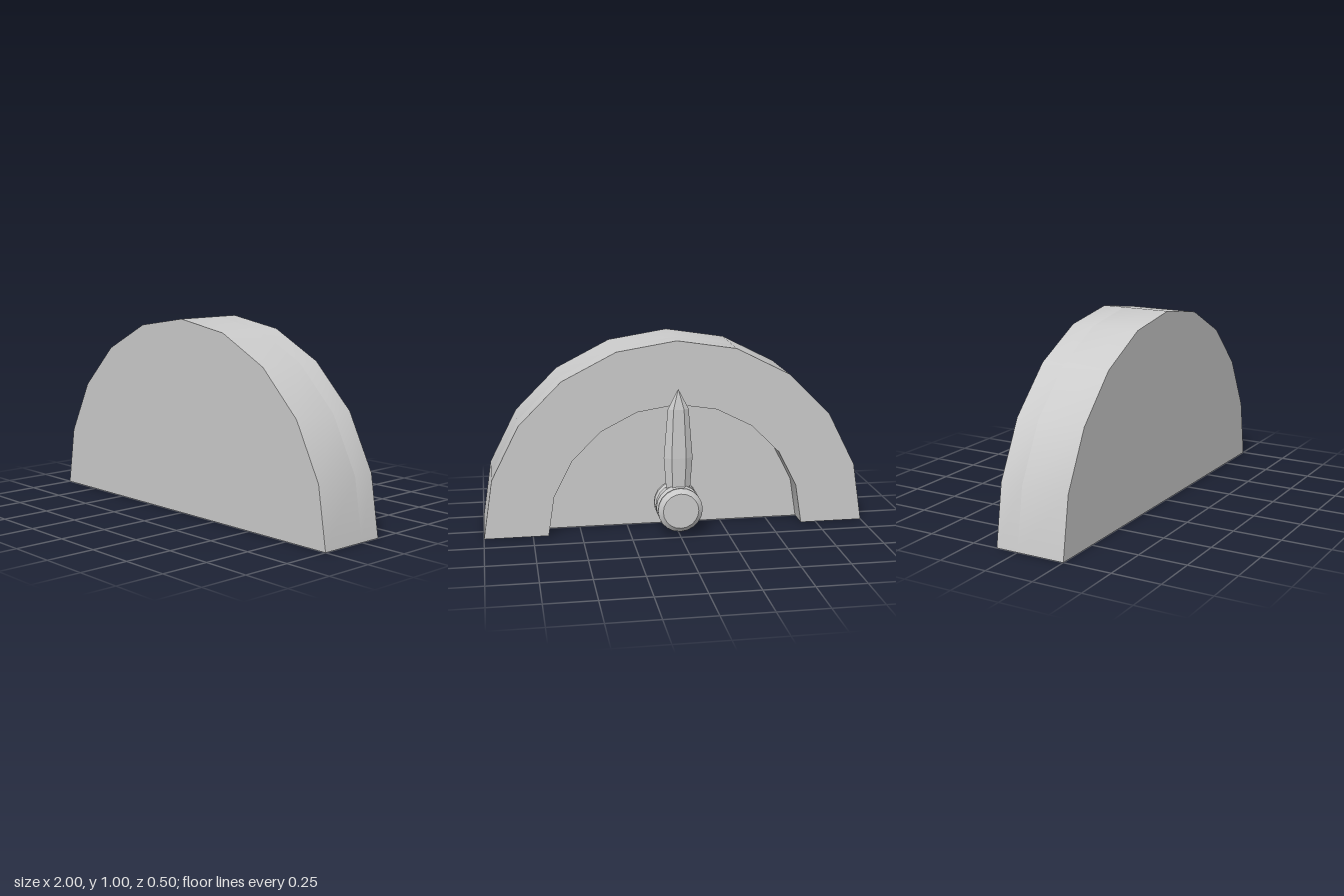
import * as THREE from 'three';
import { toCreasedNormals } from 'three/addons/utils/BufferGeometryUtils.js';

const STEPS = 10;          // straight segments along each half circle
const OUTER = 1, INNER = 0.67;
const FRONT_Z = 0.25, FLOOR_Z = 0, BACK_Z = -0.117;
const HUB_Y = 0.14, HAND_Z = -0.152;

const material = new THREE.MeshStandardMaterial({ color: 0xcccccc });

function part(name, geometry, crease) {
  const mesh = new THREE.Mesh(toCreasedNormals(geometry, crease), material);
  mesh.name = name;
  return mesh;
}

// Points of a faceted half circle, from +x over the top to -x
function arc(radius) {
  return Array.from({ length: STEPS + 1 }, (_, i) => {
    const a = (Math.PI * i) / STEPS;
    return new THREE.Vector2(Math.cos(a) * radius, Math.sin(a) * radius);
  });
}

function extrude(points, z0, z1) {
  const geometry = new THREE.ExtrudeGeometry(new THREE.Shape(points), { depth: z1 - z0, bevelEnabled: false });
  return geometry.translate(0, 0, z0);
}

// Lathe around z: profile of [radius, distance towards the back]
function turned(profile) {
  const points = profile.map(([r, d]) => new THREE.Vector2(r, d));
  return new THREE.LatheGeometry(points, 20).rotateX(-Math.PI / 2);
}

export function createModel() {
  const group = new THREE.Group();
  group.name = 'halfRoundGauge';

  // Housing: solid front slab and an arch that frames the recess at the back
  group.add(part('frontSlab', extrude(arc(OUTER), FLOOR_Z, FRONT_Z), 0.5));
  group.add(part('rearArch', extrude([...arc(OUTER), ...arc(INNER).reverse()], BACK_Z, FLOOR_Z), 0.5));

  // Hub: a shaft with three bevelled discs, the middle one carries the hand
  const hub = new THREE.Group();
  hub.name = 'hub';
  hub.position.y = HUB_Y;
  hub.add(part('shaft', turned([[0.07, 0], [0.07, 0.225]]), 0.5));
  const discs = [
    ['innerDisc', -0.082, 0.025, 0.008],
    ['middleDisc', HAND_Z, 0.035, 0.018],
    ['outerDisc', -0.222, 0.025, 0.006],
  ];
  for (const [name, z, half, flat] of discs) {
    const disc = part(name, turned([
      [0, -half], [0.092, -half], [0.116, -flat], [0.116, flat], [0.092, half], [0, half],
    ]), 0.5);
    disc.position.z = z;
    hub.add(disc);
  }
  group.add(hub);

  // Hand: flattened six-sided blade that ends in a point
  const blade = [[0, 0.2], [0.06, 0.2], [0.075, 0.4], [0.054, 0.655], [0, 0.76]]
    .map(([r, y]) => new THREE.Vector2(r, y));
  const bladeGeometry = new THREE.LatheGeometry(blade, 6, Math.PI / 2).scale(1, 1, 0.415);
  const hand = part('hand', bladeGeometry, 0.02);
  hand.position.z = HAND_Z;
  group.add(hand);

  return group;
}
